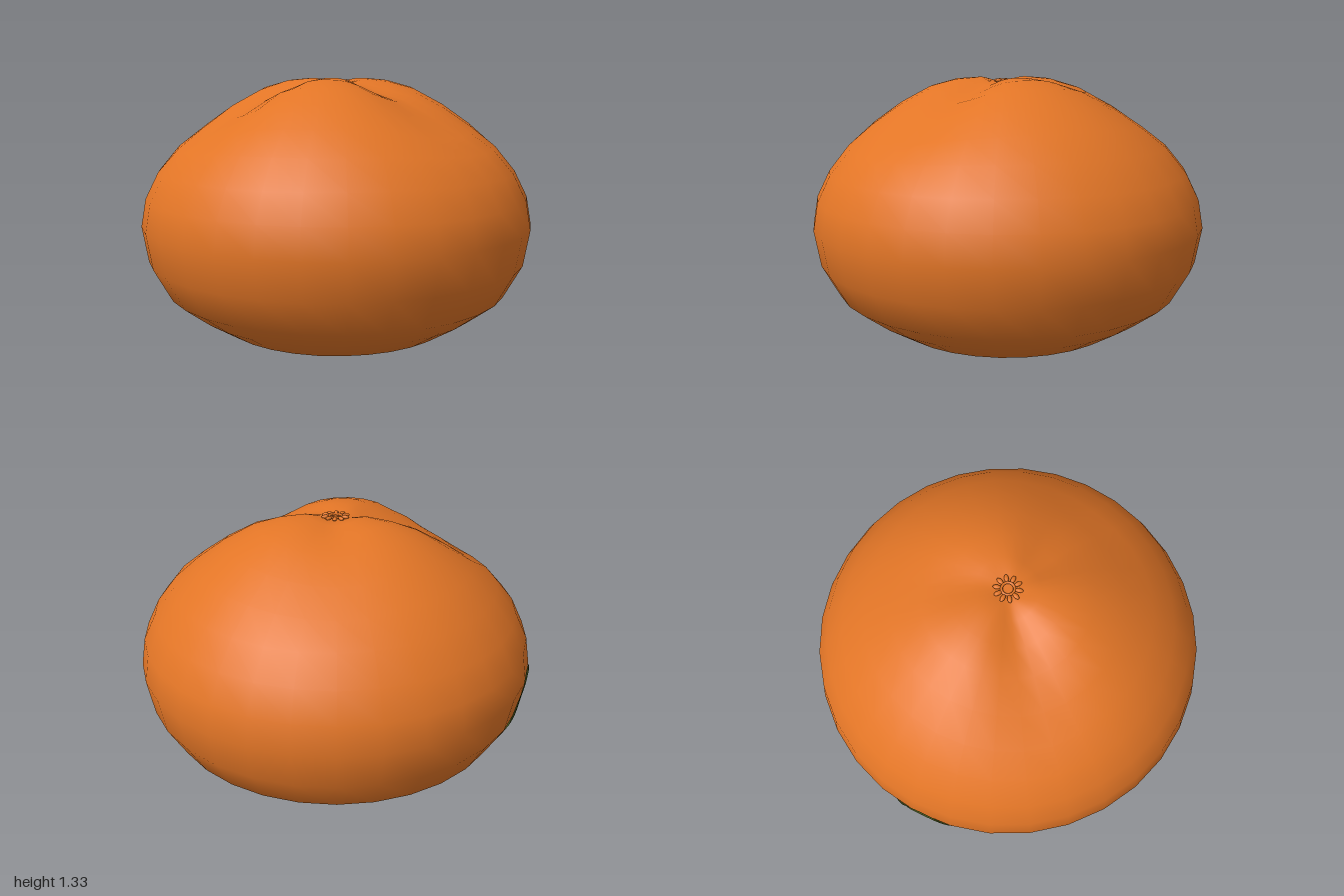
import * as THREE from 'three';
import { mergeVertices } from 'three/addons/utils/BufferGeometryUtils.js';

// Radius and height of the fruit, from the base to the crown
const PROFILE = [
  [0, 0.005], [0.32, 0.015], [0.6, 0.06], [0.75, 0.155], [0.88, 0.255], [0.97, 0.42],
  [1, 0.6], [0.975, 0.74], [0.91, 0.87], [0.81, 1.0], [0.69, 1.11], [0.55, 1.21],
  [0.4, 1.29], [0.27, 1.325], [0.15, 1.333], [0.07, 1.312], [0, 1.3],
];

// Soft hollows between the three ridges of the crown: angle, width, depth
const HOLLOWS = [[18, 30, 0.075], [138, 26, 0.075], [250, 30, 0.035]];

function hollowDepth(x, z) {
  const r = Math.hypot(x, z);
  const angle = THREE.MathUtils.radToDeg(Math.atan2(z, x));
  const fade = THREE.MathUtils.smoothstep(r, 0.04, 0.25) * (1 - THREE.MathUtils.smoothstep(r, 0.6, 0.92));
  let depth = 0;
  for (const [centre, width, amount] of HOLLOWS) {
    const d = THREE.MathUtils.euclideanModulo(angle - centre + 180, 360) - 180;
    depth += amount * Math.exp(-((d / width) ** 2));
  }
  return depth * fade;
}

function radiusAt(y) {
  const i = PROFILE.findIndex((p) => p[1] >= y);
  const [r0, y0] = PROFILE[i - 1];
  const [r1, y1] = PROFILE[i];
  return r0 + ((r1 - r0) * (y - y0)) / (y1 - y0);
}

function makePeel() {
  let geometry = new THREE.LatheGeometry(PROFILE.map((p) => new THREE.Vector2(...p)), 32);
  const pos = geometry.attributes.position;
  for (let i = 0; i < pos.count; i++) {
    if (pos.getY(i) > 0.8) pos.setY(i, pos.getY(i) - hollowDepth(pos.getX(i), pos.getZ(i)));
  }
  // Weld the seam so the skin shades smoothly
  geometry.deleteAttribute('uv');
  geometry.deleteAttribute('normal');
  geometry = mergeVertices(geometry, 1e-4);
  geometry.computeVertexNormals();
  return geometry;
}

// Oval patch wrapped on the side of the fruit
function makePatch() {
  const geometry = new THREE.RingGeometry(0.001, 1, 28, 6);
  const pos = geometry.attributes.position;
  for (let i = 0; i < pos.count; i++) {
    const v = pos.getY(i);
    const angle = 0.03 + pos.getX(i) * 0.18 + v * 0.02;
    const y = 0.425 + v * 0.225;
    const r = radiusAt(y) + 0.005;
    pos.setXYZ(i, -r * Math.cos(angle), y, r * Math.sin(angle));
  }
  geometry.computeVertexNormals();
  return geometry;
}

export function createModel() {
  const orange = new THREE.MeshStandardMaterial({ color: 0xe27526 });
  orange.name = 'orange peel';
  const green = new THREE.MeshStandardMaterial({ color: 0x48561c, side: THREE.DoubleSide });
  green.name = 'dark green';

  const model = new THREE.Group();
  model.name = 'mandarin';
  const add = (name, geometry, material, parent = model) => {
    const mesh = new THREE.Mesh(geometry, material);
    mesh.name = name;
    parent.add(mesh);
    return mesh;
  };

  add('peel', makePeel(), orange);
  add('greenPatch', makePatch(), green);

  // Small rosette where the stem was
  const rosette = new THREE.Group();
  rosette.name = 'stemRosette';
  rosette.position.y = 1.316;
  model.add(rosette);
  const rim = add('stemRim', new THREE.TorusGeometry(0.03, 0.007, 6, 20), orange, rosette);
  rim.rotation.x = Math.PI / 2;
  const petal = new THREE.SphereGeometry(1, 10, 6);
  const count = 10;
  for (let i = 0; i < count; i++) {
    const a = (i / count) * Math.PI * 2;
    const lobe = add('rosetteLobe', petal, orange, rosette);
    lobe.scale.set(0.02, 0.009, 0.011);
    lobe.position.set(Math.cos(a) * 0.051, 0, Math.sin(a) * 0.051);
    lobe.rotation.y = -a;
  }
  return model;
}
